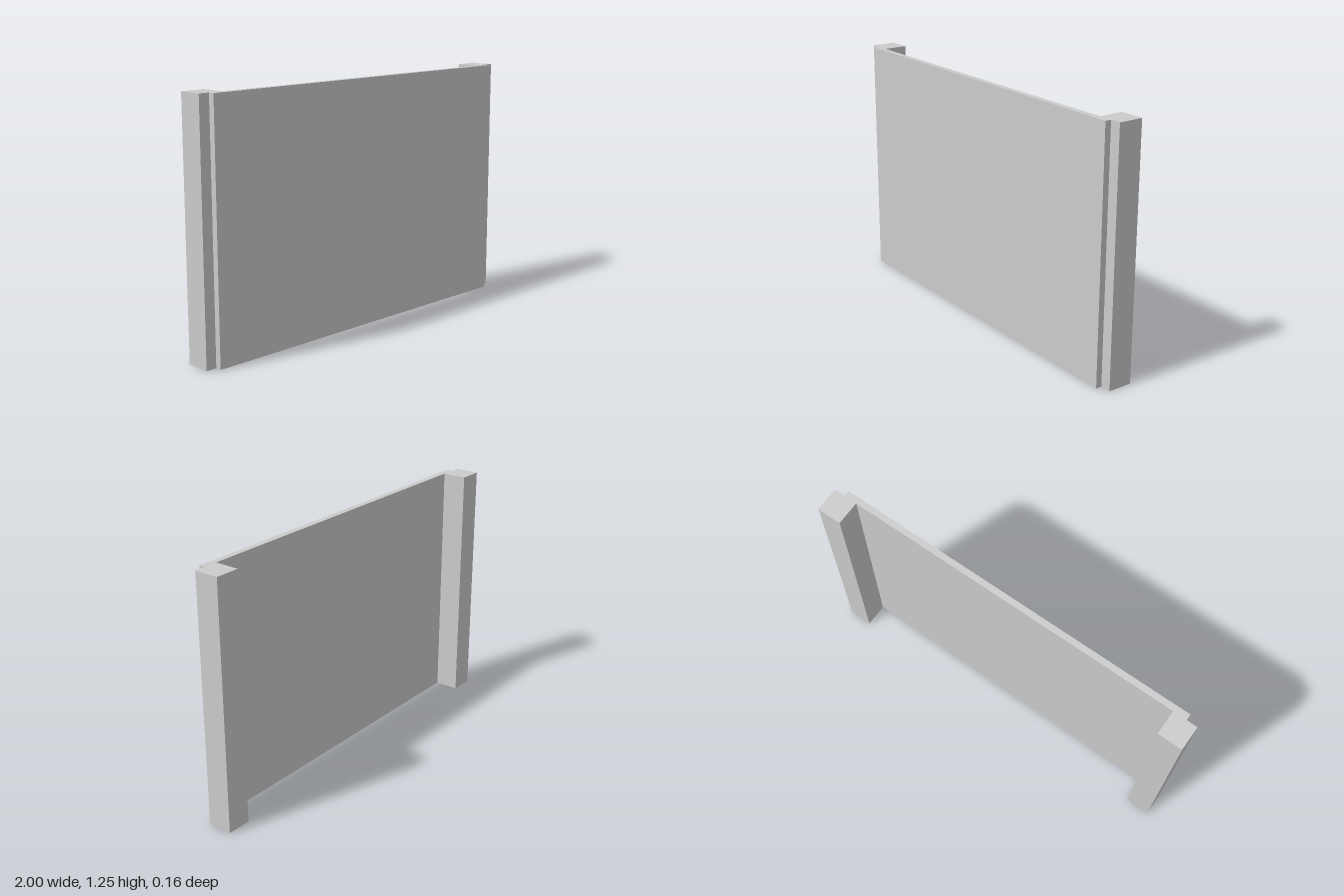
import * as THREE from 'three';

const HEIGHT = 1.25;
const POST = 0.125; // square post side
const PANEL_WIDTH = 1.89;
const PANEL_DEPTH = 0.031;
const DEPTH = POST + PANEL_DEPTH;

export function createModel() {
  const group = new THREE.Group();
  group.name = 'fencePanel';
  const material = new THREE.MeshStandardMaterial({ color: 0xcccccc });

  const addBox = (name, width, depth, x, z) => {
    const mesh = new THREE.Mesh(new THREE.BoxGeometry(width, HEIGHT, depth), material);
    mesh.name = name;
    mesh.position.set(x, HEIGHT / 2, z);
    group.add(mesh);
  };

  // Thin board across the front
  addBox('panel', PANEL_WIDTH, PANEL_DEPTH, 0, (DEPTH - PANEL_DEPTH) / 2);

  // Square posts behind the board, reaching past its ends
  for (const [name, side] of [['leftPost', 1], ['rightPost', -1]]) {
    addBox(name, POST, POST, side * (1 - POST / 2), (POST - DEPTH) / 2);
  }

  return group;
}
